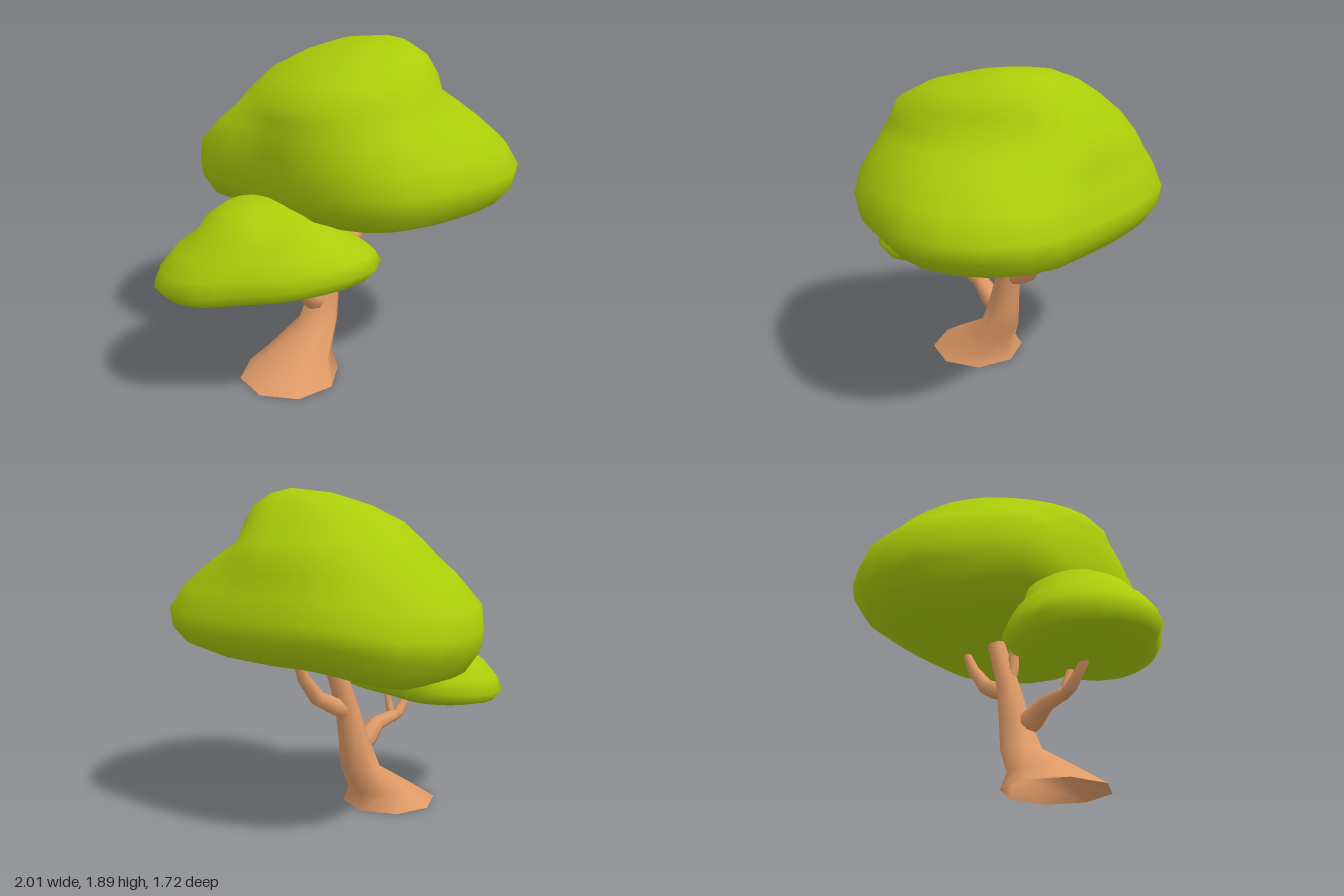
import * as THREE from 'three';

const leafGreen = new THREE.MeshStandardMaterial({ color: 0xabcc09 });
const barkBrown = new THREE.MeshStandardMaterial({ color: 0xdf9a67, side: THREE.DoubleSide });
const V = (x, y, z) => new THREE.Vector3(x, y, z);

// Smooth skin through rings of equal point count, with an optional pole at each end
function loft(rings, bottom, top) {
  const n = rings[0].length;
  const pos = [];
  const idx = [];
  rings.flat().forEach((p) => pos.push(p.x, p.y, p.z));
  for (let r = 0; r < rings.length - 1; r++) {
    for (let i = 0; i < n; i++) {
      const a = r * n + i;
      const b = r * n + ((i + 1) % n);
      idx.push(a, a + n, b, b, a + n, b + n);
    }
  }
  const addPole = (p, start, up) => {
    const c = pos.length / 3;
    pos.push(p.x, p.y, p.z);
    for (let i = 0; i < n; i++) {
      const a = start + i;
      const b = start + ((i + 1) % n);
      if (up) idx.push(a, c, b);
      else idx.push(a, b, c);
    }
  };
  if (bottom) addPole(bottom, 0, false);
  if (top) addPole(top, (rings.length - 1) * n, true);
  const g = new THREE.BufferGeometry();
  g.setAttribute('position', new THREE.Float32BufferAttribute(pos, 3));
  g.setIndex(idx);
  g.computeVertexNormals();
  return g;
}

// Outline radius at fraction t of a turn, from radii every 30 degrees
function radiusAt(radii, t) {
  const n = radii.length;
  const i = Math.floor(t * n);
  const f = t * n - i;
  const [a, b, c, d] = [-1, 0, 1, 2].map((k) => radii[(i + k + n) % n]);
  return b + 0.5 * f * (c - a + f * (2 * a - 5 * b + 4 * c - d + f * (3 * (b - c) + d - a)));
}

// Foliage: layers are [y, cx, cz, blend from rim to crown outline, scale, bend weight]
function foliage(name, rim, crown, layers, bend, bottom, top) {
  const sides = 30;
  const rings = layers.map(([y, cx, cz, blend, scale, w]) =>
    Array.from({ length: sides }, (_, i) => {
      const t = i / sides;
      const r = scale * THREE.MathUtils.lerp(radiusAt(rim, t), radiusAt(crown, t), blend);
      const x = cx + r * Math.cos(t * Math.PI * 2);
      const z = cz + r * Math.sin(t * Math.PI * 2);
      return V(x, y + w * bend(x, z), z);
    }));
  const mesh = new THREE.Mesh(loft(rings, bottom, top), leafGreen);
  mesh.name = name;
  return mesh;
}

// Tapered branch: points are [x, y, z, radius]
function branch(name, points) {
  const sides = 8;
  const centres = points.map(([x, y, z]) => V(x, y, z));
  const rings = points.map((p, k) => {
    const dir = centres[Math.min(k + 1, points.length - 1)].clone()
      .sub(centres[Math.max(k - 1, 0)]).normalize();
    const q = new THREE.Quaternion().setFromUnitVectors(V(0, 1, 0), dir);
    return Array.from({ length: sides }, (_, i) => {
      const a = (i / sides) * Math.PI * 2;
      return V(Math.cos(a) * p[3], 0, Math.sin(a) * p[3]).applyQuaternion(q).add(centres[k]);
    });
  });
  const mesh = new THREE.Mesh(loft(rings, centres[0], centres[centres.length - 1]), barkBrown);
  mesh.name = name;
  return mesh;
}

export function createModel() {
  const tree = new THREE.Group();
  tree.name = 'tree';

  // Hollow trunk with a wide open foot, level rings
  const trunkRings = [
    [-0.28, 0, 0.225, 0.285], [-0.225, 0.1, 0.185, 0.2], [-0.085, 0.255, 0.09, 0.117],
    [-0.045, 0.42, 0.065, 0.092], [0.005, 0.65, 0.035, 0.068], [0.1, 0.95, -0.02, 0.054],
    [0.14, 1.1, -0.04, 0.045],
  ].map(([x, y, z, r]) => Array.from({ length: 8 }, (_, i) => {
    const a = (i / 8) * Math.PI * 2;
    return V(x + r * Math.cos(a), y, z + r * Math.sin(a));
  }));
  const trunk = new THREE.Mesh(loft(trunkRings, null, V(0.14, 1.1, -0.04)), barkBrown);
  trunk.name = 'trunk';
  tree.add(trunk);

  // Branches
  tree.add(
    branch('lowerBranch', [[-0.06, 0.36, 0.08, 0.055], [-0.13, 0.42, 0.14, 0.064],
      [-0.2, 0.49, 0.2, 0.047], [-0.31, 0.515, 0.28, 0.036], [-0.35, 0.52, 0.3, 0.02]]),
    branch('lowerOuterTwig', [[-0.3, 0.5, 0.27, 0.03], [-0.35, 0.53, 0.3, 0.033],
      [-0.43, 0.65, 0.36, 0.022], [-0.46, 0.73, 0.37, 0.015]]),
    branch('lowerInnerTwig', [[-0.31, 0.5, 0.28, 0.024], [-0.29, 0.57, 0.29, 0.024],
      [-0.28, 0.66, 0.32, 0.018], [-0.28, 0.73, 0.33, 0.014]]),
    branch('upperBranch', [[0.02, 0.62, 0.01, 0.045], [0.08, 0.655, -0.02, 0.053],
      [0.18, 0.715, -0.07, 0.046], [0.26, 0.84, -0.13, 0.036], [0.305, 0.98, -0.175, 0.022],
      [0.315, 1.06, -0.18, 0.014]]),
    branch('upperTwig', [[0.0, 0.66, 0.04, 0.035], [0.01, 0.78, 0.065, 0.032],
      [0.02, 1.04, 0.075, 0.024]]),
  );

  // Large upper canopy, sagging towards the back
  const sag = (x, z) => -0.11 * THREE.MathUtils.smoothstep(-z, -0.05, 0.42)
    * (1 - 0.85 * THREE.MathUtils.smoothstep(x, -0.25, 0.3));
  tree.add(foliage('upperCanopy',
    [0.87, 0.93, 0.86, 0.86, 0.72, 0.64, 0.77, 0.91, 0.95, 0.8, 0.68, 0.69],
    [0.5, 0.52, 0.6, 0.67, 0.67, 0.59, 0.55, 0.59, 0.66, 0.59, 0.52, 0.53],
    [
      [0.965, 0.12, 0, 0, 0.4, 1], [0.975, 0.12, 0, 0, 0.72, 1],
      [1.04, 0.12, 0, 0, 0.9, 1], [1.13, 0.12, 0, 0, 0.985, 0.8],
      [1.22, 0.12, 0, 0, 1, 0.8], [1.34, 0.09, 0.01, 0.04, 0.965, 0.7],
      [1.45, 0.1, 0.01, 0.4, 0.97, 0.6], [1.53, 0.12, 0, 0.77, 1, 0.5],
      [1.6, 0.12, 0.01, 1, 0.98, 0.2], [1.7, 0.15, 0.06, 1, 0.84, 0],
      [1.79, 0.21, 0.05, 1, 0.62, 0], [1.855, 0.26, 0.01, 1, 0.33, 0],
    ],
    sag, V(0.12, 0.955, 0), V(0.31, 1.886, 0.05)));

  // Small lower canopy, tilted down towards -x
  const tilt = (x, z) => 0.12 * (x + 0.43) + 0.04 * (z - 0.37);
  tree.add(foliage('lowerCanopy',
    [0.5, 0.63, 0.5, 0.41, 0.39, 0.49, 0.57, 0.56, 0.49, 0.44, 0.35, 0.37],
    [0.36, 0.37, 0.34, 0.27, 0.29, 0.31, 0.33, 0.34, 0.34, 0.32, 0.29, 0.31],
    [
      [0.645, -0.43, 0.37, 0, 0.4, 0.7], [0.655, -0.43, 0.37, 0, 0.72, 1],
      [0.69, -0.43, 0.37, 0, 0.91, 1], [0.75, -0.43, 0.37, 0, 1, 1],
      [0.82, -0.43, 0.37, 0.05, 0.96, 0.9], [0.89, -0.43, 0.37, 0.4, 0.96, 0.6],
      [0.95, -0.42, 0.37, 0.88, 0.98, 0.3], [1.01, -0.41, 0.36, 1, 0.95, 0.1],
      [1.07, -0.41, 0.35, 1, 0.67, 0], [1.1, -0.41, 0.34, 1, 0.35, 0],
    ],
    tilt, V(-0.43, 0.645, 0.37), V(-0.41, 1.115, 0.34)));

  return tree;
}
